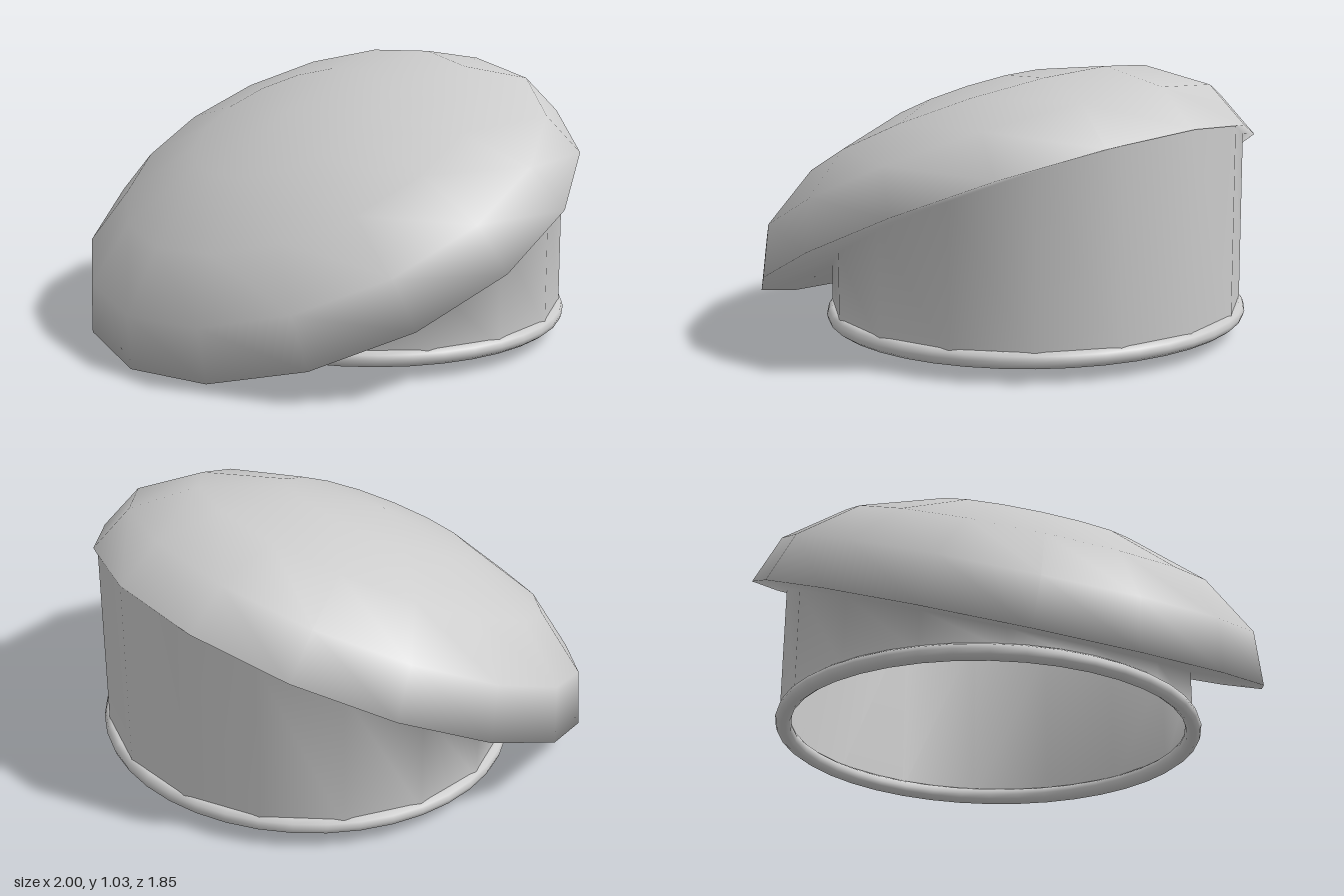
import * as THREE from 'three';

const SIDES = 16;
const TILT = Math.asin(0.42);   // crown leans down to the front
const RIM_Y = 0.42;             // height of the crown's rim centre
const BAND = { x: 0.805, z: 0.757, cz: -0.155, y: 0.08 };

// Ring of points, each given by a rule of the angle (0 = front)
const ring = (rule) => Array.from({ length: SIDES }, (_, i) => {
  const a = (i / SIDES) * Math.PI * 2;
  return rule(Math.sin(a), Math.cos(a));
});

// Closed smooth skin from an apex through successive rings
function loft(apex, rings) {
  const points = [apex, ...rings.flat()];
  const index = [];
  for (let i = 0; i < SIDES; i++) {
    const n = (i + 1) % SIDES;
    index.push(0, 1 + i, 1 + n);
    for (let j = 0; j < rings.length - 1; j++) {
      const up = 1 + j * SIDES, low = up + SIDES;
      index.push(up + i, low + i, low + n, up + i, low + n, up + n);
    }
  }
  const geometry = new THREE.BufferGeometry().setFromPoints(points);
  geometry.setIndex(index);
  geometry.computeVertexNormals();
  return geometry;
}

export function createModel() {
  const group = new THREE.Group();
  const material = new THREE.MeshStandardMaterial({ color: 0xcccccc, side: THREE.DoubleSide });

  // Tilted shallow dome, from apex to rim
  const xAxis = new THREE.Vector3(1, 0, 0);
  const tilted = (x, y, z) => {
    const p = new THREE.Vector3(x, y, z).applyAxisAngle(xAxis, TILT);
    p.y += RIM_Y;
    return p;
  };
  const rings = [];
  for (let k = 1; k <= 4; k++) {
    const t = (k * Math.PI) / 8;
    rings.push(ring((s, c) => tilted(s * Math.sin(t), 0.487 * Math.cos(t), c * Math.sin(t))));
  }

  // Underside folds in along the rim plane, then the wall drops to the band
  const wall = (s, c, height) => {
    const z = BAND.cz + c * BAND.z;
    return new THREE.Vector3(s * BAND.x, height(z), z);
  };
  rings.push(ring((s, c) => wall(s, c, (z) => RIM_Y - z * Math.tan(TILT))));
  rings.push(ring((s, c) => wall(s, c, () => BAND.y)));

  const crown = new THREE.Mesh(loft(tilted(0, 0.487, 0), rings), material);
  crown.name = 'crownAndWall';
  group.add(crown);

  // Rounded hem around the head opening
  const hemGeometry = new THREE.TorusGeometry(1, 0.031, 10, 40);
  hemGeometry.rotateX(Math.PI / 2);
  // keep the tube round while the loop becomes an ellipse
  const pos = hemGeometry.attributes.position;
  for (let i = 0; i < pos.count; i++) {
    const x = pos.getX(i), z = pos.getZ(i);
    const r = Math.hypot(x, z);
    pos.setX(i, (x / r) * (0.79 + r - 1));
    pos.setZ(i, (z / r) * (0.745 + r - 1));
  }
  const hem = new THREE.Mesh(hemGeometry, material);
  hem.position.set(0, BAND.y, BAND.cz);
  hem.name = 'hem';
  group.add(hem);

  return group;
}
